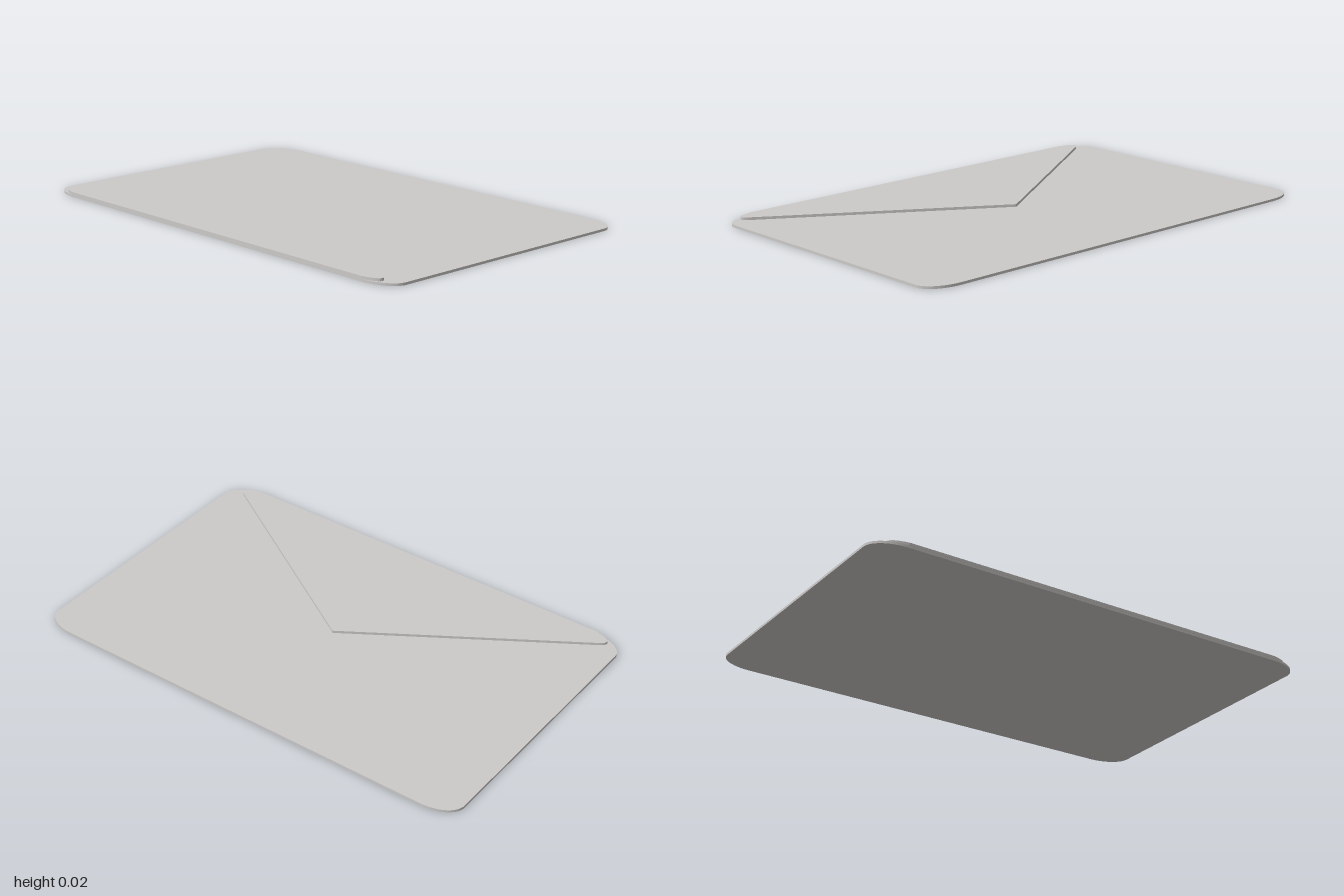
import * as THREE from 'three';

const paper = new THREE.MeshStandardMaterial({ color: 0xcccac8 });
paper.name = 'paleGreyPaper';

// Flat sheet cut from an outline, lying on the ground plane at height y
function sheet(name, shape, thickness, y) {
  const geometry = new THREE.ExtrudeGeometry(shape, { depth: thickness, bevelEnabled: false, curveSegments: 10 });
  geometry.rotateX(-Math.PI / 2);
  const mesh = new THREE.Mesh(geometry, paper);
  mesh.name = name;
  mesh.position.y = y;
  return mesh;
}

// Rectangle with elliptical corners
function bodyShape(w, l, rx, rl) {
  const s = new THREE.Shape();
  const q = Math.PI / 2;
  const corners = [[1, 1], [-1, 1], [-1, -1], [1, -1]];
  s.moveTo(w, l - rl);
  corners.forEach(([sx, sy], i) => {
    s.absellipse(sx * (w - rx), sy * (l - rl), rx, rl, i * q, (i + 1) * q, false, 0);
  });
  s.closePath();
  return s;
}

// Triangular flap with its point at the centre and rounded outer tips
function flapShape() {
  const s = new THREE.Shape();
  s.moveTo(0, 0);
  s.lineTo(-0.572, 0.912);
  s.bezierCurveTo(-0.597, 0.95, -0.619, 0.938, -0.633, 0.86);
  s.lineTo(-0.633, -0.86);
  s.bezierCurveTo(-0.619, -0.938, -0.597, -0.95, -0.572, -0.912);
  s.closePath();
  return s;
}

export function createModel() {
  const group = new THREE.Group();
  group.name = 'envelope';
  group.add(sheet('envelopeBody', bodyShape(0.632, 1, 0.085, 0.14), 0.01, 0));
  group.add(sheet('envelopeFlap', flapShape(), 0.011, 0.01));
  return group;
}
